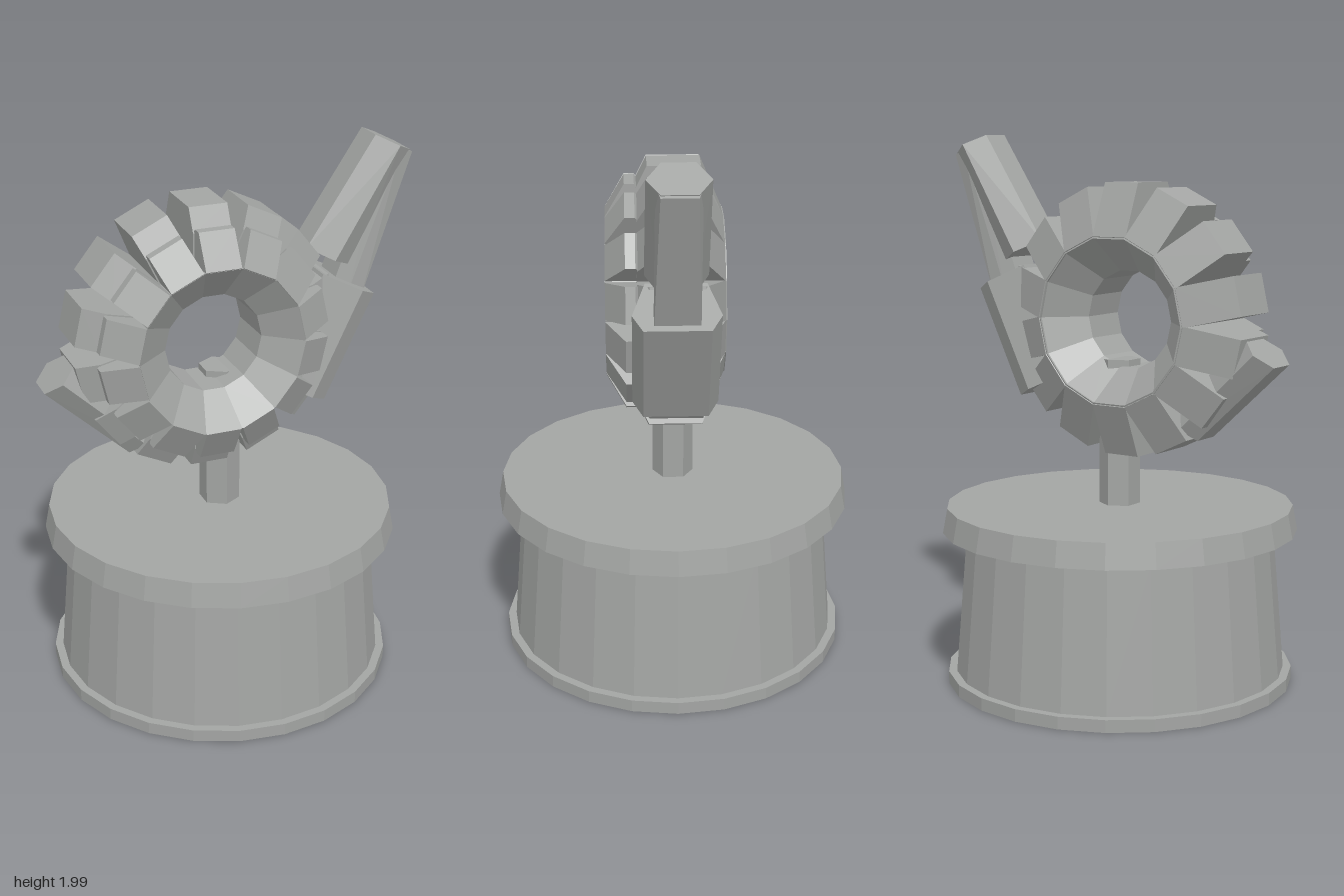
import * as THREE from 'three';
import { ConvexGeometry } from 'three/addons/geometries/ConvexGeometry.js';

export function createModel() {
  const model = new THREE.Group();
  const grey = new THREE.MeshStandardMaterial({ color: 0xa3a5a3, flatShading: true });
  grey.name = 'stone grey';

  const add = (parent, name, geometry) => {
    const mesh = new THREE.Mesh(geometry, grey);
    mesh.name = name;
    parent.add(mesh);
    return mesh;
  };

  // Pedestal and post: stacked cylinders, slightly off centre
  const drum = (name, rTop, rBottom, y0, y1, sides = 24) => {
    const mesh = add(model, name, new THREE.CylinderGeometry(rTop, rBottom, y1 - y0, sides));
    mesh.position.set(-0.03, (y0 + y1) / 2, 0);
  };
  drum('pedestalRim', 0.638, 0.638, 0, 0.045);
  drum('pedestalBody', 0.565, 0.608, 0.045, 0.565);
  drum('pedestalLid', 0.635, 0.652, 0.565, 0.655);
  drum('post', 0.075, 0.075, 0.655, 1.19, 6);

  // Wheel: everything below is placed around its centre
  const wheel = new THREE.Group();
  wheel.name = 'wheel';
  wheel.position.set(-0.105, 1.34, 0);
  model.add(wheel);

  // Core ring with funnel-shaped faces on both sides of the hole
  const COUNT = 14;
  const corePoints = [
    [0.305, -0.182], [0.305, 0.24], [0.18, 0.14], [0.177, -0.05], [0.305, -0.182],
  ].map(([r, z]) => new THREE.Vector2(r, z));
  const core = new THREE.LatheGeometry(corePoints, COUNT, Math.PI / COUNT);
  core.rotateX(Math.PI / 2);
  add(wheel, 'wheelCore', core);

  // Tooth: a profile across the wheel (radius, z), extruded along the rim
  const toothGeometry = (profile, width) => {
    const shape = new THREE.Shape(profile.map(([r, z]) => new THREE.Vector2(r, z)));
    const geometry = new THREE.ExtrudeGeometry(shape, { depth: width, bevelEnabled: false });
    geometry.translate(0, 0, -width / 2);
    geometry.rotateX(Math.PI / 2);
    return geometry;
  };
  const mainTooth = toothGeometry(
    [[0.29, -0.182], [0.485, -0.1], [0.485, 0.09], [0.405, 0.13], [0.29, 0.13]], 0.14);
  const frontTooth = toothGeometry(
    [[0.29, 0.12], [0.4, 0.12], [0.42, 0.135], [0.42, 0.17], [0.3, 0.24], [0.29, 0.23]], 0.13);
  for (let i = 0; i < COUNT; i++) {
    const angle = Math.PI / 2 + (i * Math.PI * 2) / COUNT;
    add(wheel, 'mainTooth', mainTooth).rotation.z = angle;
    add(wheel, 'frontTooth', frontTooth).rotation.z = angle;
  }

  // Six-sided tapering block between two sections: t along the rim,
  // inner / middle / outer radius with the half width in z at each
  const section = (t, inner, middle, outer) =>
    [inner, middle, outer].flatMap(([r, z]) => [
      new THREE.Vector3(r, t, z), new THREE.Vector3(r, t, -z),
    ]);
  const block = (name, angle, start, end) => {
    const geometry = new ConvexGeometry([...section(...start), ...section(...end)]);
    add(wheel, name, geometry).rotation.z = angle;
  };
  const step = (Math.PI * 2) / COUNT;

  // Handle on the model's left: socket, outer strut and grip
  block('handleSocket', -step,
    [-0.08, [0.31, 0.105], [0.46, 0.15], [0.53, 0.113]],
    [0.35, [0.31, 0.105], [0.46, 0.15], [0.53, 0.113]]);
  block('handleStrut', -step,
    [0.32, [0.39, 0.06], [0.45, 0.078], [0.508, 0.078]],
    [0.862, [0.34, 0.06], [0.4, 0.075], [0.456, 0.06]]);
  block('handleGrip', -step,
    [0.41, [0.231, 0.055], [0.33, 0.108], [0.428, 0.055]],
    [0.866, [0.294, 0.055], [0.375, 0.105], [0.445, 0.06]]);

  // Short tapered stub on the opposite side
  block('stub', Math.PI + 1.5 * step,
    [-0.265, [0.4, 0.05], [0.475, 0.102], [0.545, 0.055]],
    [0.14, [0.34, 0.05], [0.42, 0.1], [0.485, 0.055]]);

  return model;
}
